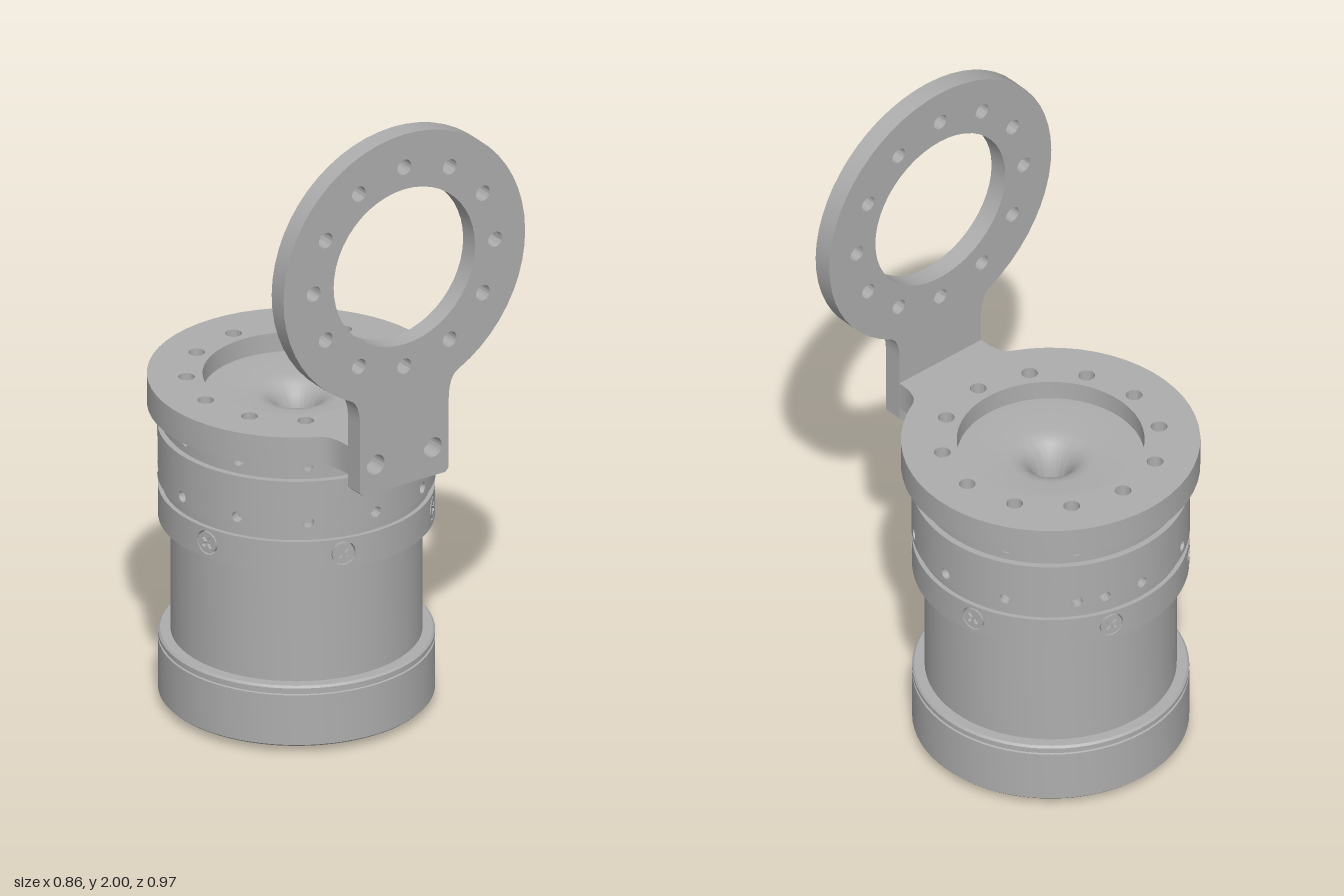
import * as THREE from 'three';
import { toCreasedNormals, mergeGeometries } from 'three/addons/utils/BufferGeometryUtils.js';

const metal = new THREE.MeshStandardMaterial({ color: 0xadadad });
metal.name = 'grey metal';

const DEG = Math.PI / 180;
const AXIS_Z = -0.058; // the motor's upright axis

function add(parent, name, geometry) {
  const mesh = new THREE.Mesh(geometry, metal);
  mesh.name = name;
  parent.add(mesh);
  return mesh;
}

const lathe = (points, segments = 72) => toCreasedNormals(
  new THREE.LatheGeometry(points.map(([r, y]) => new THREE.Vector2(r, y)), segments), 0.5);

function circleHole(x, y, r) {
  return new THREE.Path().absarc(x, y, r, 0, Math.PI * 2, true);
}

function rectHole(x0, y0, x1, y1) {
  return new THREE.Path([[x0, y0], [x0, y1], [x1, y1], [x1, y0]].map(p => new THREE.Vector2(...p)));
}

// Ring with twelve bolt holes and a filleted neck pointing to +y
function neckedRing(R, inner, neckLength, corner) {
  const w = 0.155, t = 0.46;
  const px = R * Math.sin(t), py = R * Math.cos(t);
  const s = new THREE.Shape();
  s.absarc(0, 0, R, Math.PI / 2 + t, Math.PI / 2 - t + Math.PI * 2, false);
  const bend = py + (px - w) * Math.tan(t);
  s.quadraticCurveTo(w, bend, w, py + 0.09);
  s.lineTo(w, neckLength - corner);
  s.lineTo(w - corner, neckLength);
  s.lineTo(-w + corner, neckLength);
  s.lineTo(-w, neckLength - corner);
  s.lineTo(-w, py + 0.09);
  s.quadraticCurveTo(-w, bend, -px, py);
  s.holes.push(circleHole(0, 0, inner));
  for (let i = 0; i < 12; i++) {
    const a = i * 30 * DEG;
    s.holes.push(circleHole(0.317 * Math.cos(a), 0.317 * Math.sin(a), 0.024));
  }
  return s;
}

function extrude(shape, depth, curveSegments = 24) {
  return toCreasedNormals(
    new THREE.ExtrudeGeometry(shape, { depth, bevelEnabled: false, curveSegments }), 0.5);
}

// Band of 24 curved panels; holesAt(angle) lists the holes of each panel
function drilledBand(R, y0, y1, thick, holesAt) {
  const half = R * 7.5 * DEG, n = 4, panels = [];
  for (let k = 0; k < 24; k++) {
    const angle = k * 15;
    const pts = [];
    for (let i = 0; i <= n; i++) pts.push(new THREE.Vector2(-half + 2 * half * i / n, y0));
    for (let i = n; i >= 0; i--) pts.push(new THREE.Vector2(-half + 2 * half * i / n, y1));
    const shape = new THREE.Shape(pts);
    shape.holes.push(...holesAt(angle));
    const g = new THREE.ExtrudeGeometry(shape, { depth: thick, bevelEnabled: false, curveSegments: 8 });
    const p = g.attributes.position, m = g.attributes.normal;
    for (let i = 0; i < p.count; i++) {
      const a = p.getX(i) / R + angle * DEG, r = R - thick + p.getZ(i);
      const c = Math.cos(a), s = Math.sin(a), nx = m.getX(i), nz = m.getZ(i);
      p.setXYZ(i, r * s, p.getY(i), r * c);
      m.setXYZ(i, nx * c + nz * s, m.getY(i), nz * c - nx * s);
    }
    panels.push(g);
  }
  return mergeGeometries(panels);
}

export function createModel() {
  const model = new THREE.Group();
  model.name = 'motorWithBracket';
  const motor = new THREE.Group();
  motor.name = 'motor';
  motor.position.z = AXIS_Z;
  model.add(motor);

  // Turned core with base, waist, recessed top, funnel and through bore
  add(motor, 'motorBody', lathe([
    [0.033, 0.018], [0.143, 0.018], [0.143, 0.025],
    [0.393, 0.025], [0.398, 0.03], [0.398, 0.188], [0.393, 0.19], [0.393, 0.196], [0.398, 0.198],
    [0.398, 0.21], [0.392, 0.216], [0.362, 0.216], [0.362, 0.59], [0.37, 0.59],
    [0.37, 0.675], [0.385, 0.675], [0.385, 0.71], [0.37, 0.71], [0.37, 0.868],
    [0.382, 0.868], [0.382, 0.88], [0.365, 0.88], [0.365, 0.935],
    [0.27, 0.935], [0.27, 0.965], [0.125, 0.965], [0.1, 0.96], [0.08, 0.948],
    [0.06, 0.925], [0.045, 0.89], [0.036, 0.84], [0.033, 0.78], [0.033, 0.018],
  ]));

  // Bands with radial holes
  add(motor, 'screwBand', drilledBand(0.398, 0.58, 0.677, 0.032,
    a => (a + 15) % 60 === 0 ? [circleHole(0, 0.63, 0.038)] : []).rotateY(0));
  add(motor, 'clampBand', drilledBand(0.4, 0.708, 0.87, 0.032, a => {
    const holes = a % 30 === 0 ? [circleHole(0, 0.74, 0.017)] : [];
    if (a === 165) holes.push(circleHole(-0.021, 0.74, 0.017));
    if (a === 240) holes.push(rectHole(-0.004, 0.762, 0.004, 0.866));
    return holes;
  }));
  add(motor, 'upperBand', drilledBand(0.39, 0.88, 0.935, 0.027,
    a => a % 30 === 0 ? [circleHole(0, 0.914, 0.016)] : []));

  // Cross-head screws around the lower band
  const cross = new THREE.Shape().absarc(0, 0, 0.033, 0, Math.PI * 2, false);
  const a = 0.005, b = 0.021;
  cross.holes.push(new THREE.Path([
    [a, a], [a, b], [-a, b], [-a, a], [-b, a], [-b, -a],
    [-a, -a], [-a, -b], [a, -b], [a, -a], [b, -a], [b, a],
  ].map(p => new THREE.Vector2(...p))));
  const headGeometry = extrude(cross, 0.012, 10).rotateZ(45 * DEG).translate(0, 0, 0.386);
  const seatGeometry = new THREE.CircleGeometry(0.033, 20).translate(0, 0, 0.387);
  for (let i = 0; i < 6; i++) {
    const screw = new THREE.Group();
    screw.name = 'sideScrew';
    screw.position.y = 0.63;
    screw.rotation.y = (-15 + 60 * i) * DEG;
    add(screw, 'crossHead', headGeometry);
    add(screw, 'crossSeat', seatGeometry);
    motor.add(screw);
  }

  // Underside: socket bolts, cover disc, small screws and connector
  const boltGeometry = lathe([[0, 0.012], [0.014, 0.012], [0.014, 0], [0.028, 0], [0.028, 0.03]], 18);
  for (let i = 0; i < 4; i++) {
    const t = (15 + 90 * i) * DEG;
    add(motor, 'baseBolt', boltGeometry).position.set(0.112 * Math.cos(t), 0, -0.112 * Math.sin(t));
  }
  add(motor, 'baseCover', new THREE.CylinderGeometry(0.055, 0.055, 0.01, 28)).position.set(-0.017, 0.026, -0.29);
  for (const s of [-1, 1]) {
    add(motor, 'baseScrew', lathe([[0, 0.026], [0.012, 0.026], [0.012, 0.021], [0.028, 0.021], [0.028, 0.03]], 18))
      .position.set(0.318 * s, 0, 0.15 * s);
  }
  const connector = new THREE.Group();
  connector.name = 'connector';
  connector.position.set(-0.196, 0.024, 0.155);
  connector.rotation.y = 20 * DEG;
  motor.add(connector);
  for (const s of [-1, 1]) {
    add(connector, 'connectorBlock', new THREE.BoxGeometry(0.06, 0.012, 0.075)).position.z = 0.045 * s;
    for (let i = 0; i < 3; i++) {
      add(connector, 'connectorPin', new THREE.BoxGeometry(0.035, 0.006, 0.01))
        .position.set(0, -0.007, 0.045 * s + (i - 1) * 0.022);
    }
  }

  // Flat flange on top of the motor
  const flange = extrude(neckedRing(0.43, 0.27, 0.483, 0.001), 0.09);
  flange.rotateX(Math.PI / 2);
  add(motor, 'topFlange', flange).position.y = 1.025;

  // Upright ring plate bolted to the flange neck
  const plateShape = neckedRing(0.422, 0.247, 0.693, 0.012);
  for (const s of [-1, 1]) plateShape.holes.push(circleHole(0.1 * s, 0.603, 0.031));
  const plate = extrude(plateShape, 0.06);
  plate.rotateZ(Math.PI);
  add(model, 'uprightRingPlate', plate).position.set(0, 1.578, 0.425);

  return model;
}
